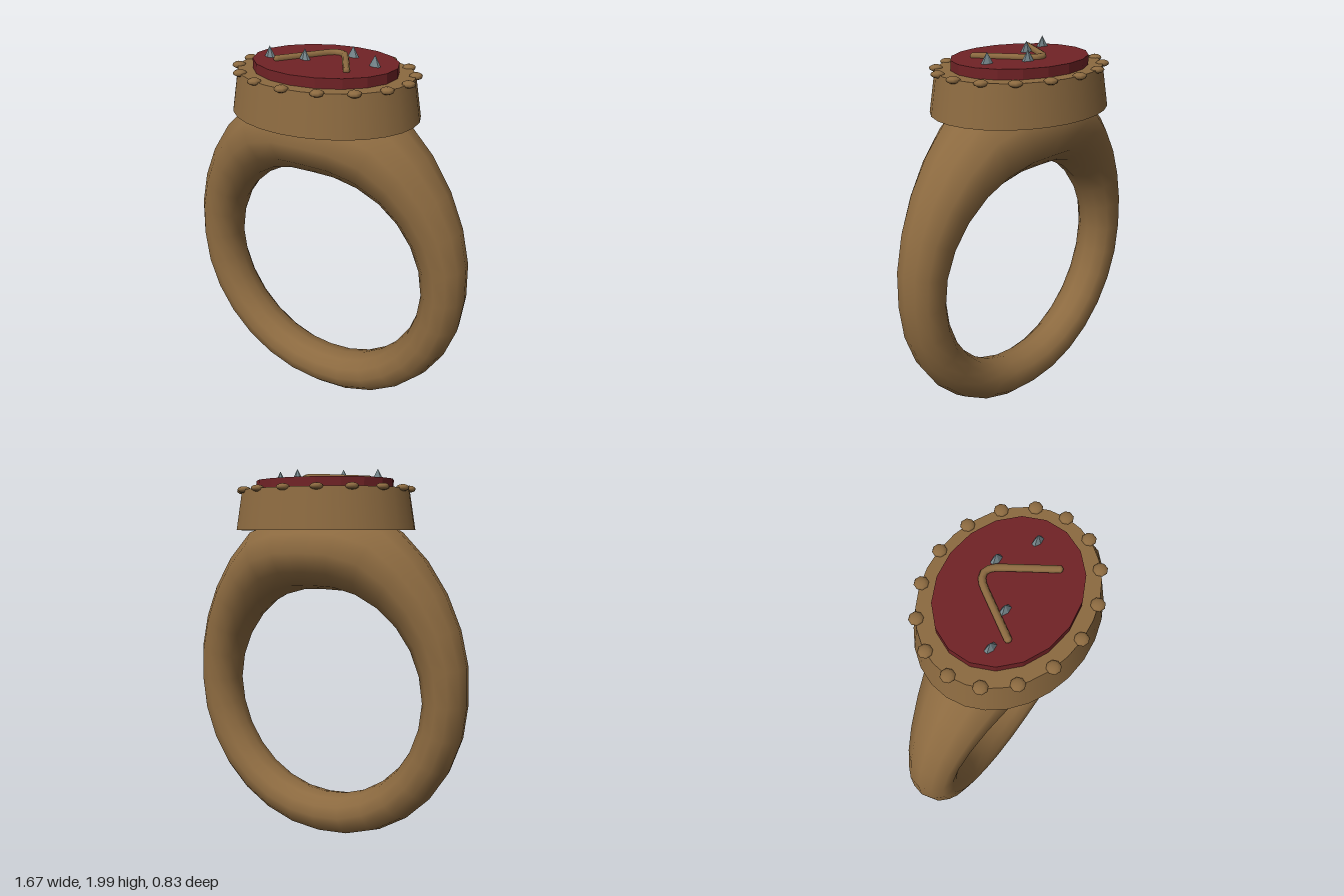
import * as THREE from 'three';

const mat = (name, color, flatShading = false) => {
  const m = new THREE.MeshStandardMaterial({ color, flatShading });
  m.name = name;
  return m;
};

// Linear lookup in a short list of [angle in degrees, value]
function lookup(table, a) {
  for (let i = 1; i < table.length; i++) {
    const [a0, v0] = table[i - 1], [a1, v1] = table[i];
    if (a <= a1) return v0 + ((v1 - v0) * (a - a0)) / (a1 - a0);
  }
  return table[table.length - 1][1];
}

// Outer radius, inner radius and half width by elevation, -90 is the bottom
const OUTER = [[-90, 0.81], [0, 0.835], [22, 0.862], [39, 0.896], [50, 0.925], [63, 0.975], [90, 0.95]];
const INNER = [[-90, 0.585], [0, 0.605], [45, 0.585], [90, 0.55]];
const WIDTH = [[-90, 0.122], [10, 0.126], [30, 0.145], [50, 0.19], [65, 0.235], [78, 0.26], [90, 0.268]];

function bandGeometry(rings = 28, sides = 12) {
  const pos = [], index = [];
  for (let i = 0; i < rings; i++) {
    const a = (i / rings) * Math.PI * 2;
    const e = THREE.MathUtils.radToDeg(Math.asin(Math.sin(a)));
    const ro = lookup(OUTER, e), ri = lookup(INNER, e), w = lookup(WIDTH, e);
    for (let j = 0; j < sides; j++) {
      const b = (j / sides) * Math.PI * 2;
      const r = (ro + ri) / 2 + ((ro - ri) / 2) * Math.cos(b);
      pos.push(r * Math.cos(a), 0.82 + r * Math.sin(a), w * Math.sin(b));
      const i2 = (i + 1) % rings, j2 = (j + 1) % sides;
      const p = i * sides + j, q = i2 * sides + j, s = i2 * sides + j2, t = i * sides + j2;
      index.push(p, q, s, p, s, t);
    }
  }
  const g = new THREE.BufferGeometry();
  g.setAttribute('position', new THREE.Float32BufferAttribute(pos, 3));
  g.setIndex(index);
  g.computeVertexNormals();
  return g;
}

export function createModel() {
  const group = new THREE.Group();
  group.name = 'signetRing';
  const bronze = mat('bronze', 0x8c6a40);
  const red = mat('darkRedStone', 0x712326, true);
  const steel = mat('greySteel', 0x74858a, true);

  const add = (name, geometry, material, x = 0, y = 0, z = 0, parent = group) => {
    const m = new THREE.Mesh(geometry, material);
    m.name = name;
    m.position.set(x, y, z);
    parent.add(m);
    return m;
  };

  // Finger band, swelling into the shoulders
  add('band', bandGeometry(), bronze);

  // Oval setting
  const setting = new THREE.CylinderGeometry(0.93, 1, 0.21, 28);
  setting.scale(0.5, 1, 0.413);
  add('setting', setting, bronze, 0, 1.79, 0);

  // Bead border
  const beads = new THREE.Group();
  beads.name = 'beadBorder';
  group.add(beads);
  const beadGeo = new THREE.SphereGeometry(0.035, 8, 6);
  beadGeo.scale(1, 0.5, 1);
  for (let i = 0; i < 16; i++) {
    const a = (i / 16) * Math.PI * 2;
    add('bead', beadGeo, bronze, 0.463 * Math.cos(a), 1.894, 0.38 * Math.sin(a), beads);
  }

  // Flat oval stone
  const stone = new THREE.CylinderGeometry(1, 1, 0.06, 18);
  stone.scale(0.382, 1, 0.315);
  add('stone', stone, red, 0, 1.915, 0);

  // Raised chevron on the stone
  const path = new THREE.CurvePath();
  const v = (x, z) => new THREE.Vector3(x, 0, z);
  path.add(new THREE.LineCurve3(v(-0.2, 0.13), v(-0.06, -0.09)));
  path.add(new THREE.QuadraticBezierCurve3(v(-0.06, -0.09), v(0, -0.18), v(0.06, -0.09)));
  path.add(new THREE.LineCurve3(v(0.06, -0.09), v(0.2, 0.13)));
  add('chevron', new THREE.TubeGeometry(path, 24, 0.018, 8), bronze, 0, 1.952, 0);
  for (const s of [-1, 1]) add('chevronTip', new THREE.SphereGeometry(0.018, 8, 6), bronze, s * 0.2, 1.952, 0.13);

  // Small pointed studs
  const stud = new THREE.ConeGeometry(0.037, 0.06, 6);
  stud.scale(1, 1, 0.55);
  for (const [x, z] of [[-0.272, 0.09], [-0.093, 0.043], [0.085, -0.127], [0.265, -0.027]]) {
    add('stud', stud, steel, x, 1.97, z).rotation.y = -0.2;
  }
  return group;
}
